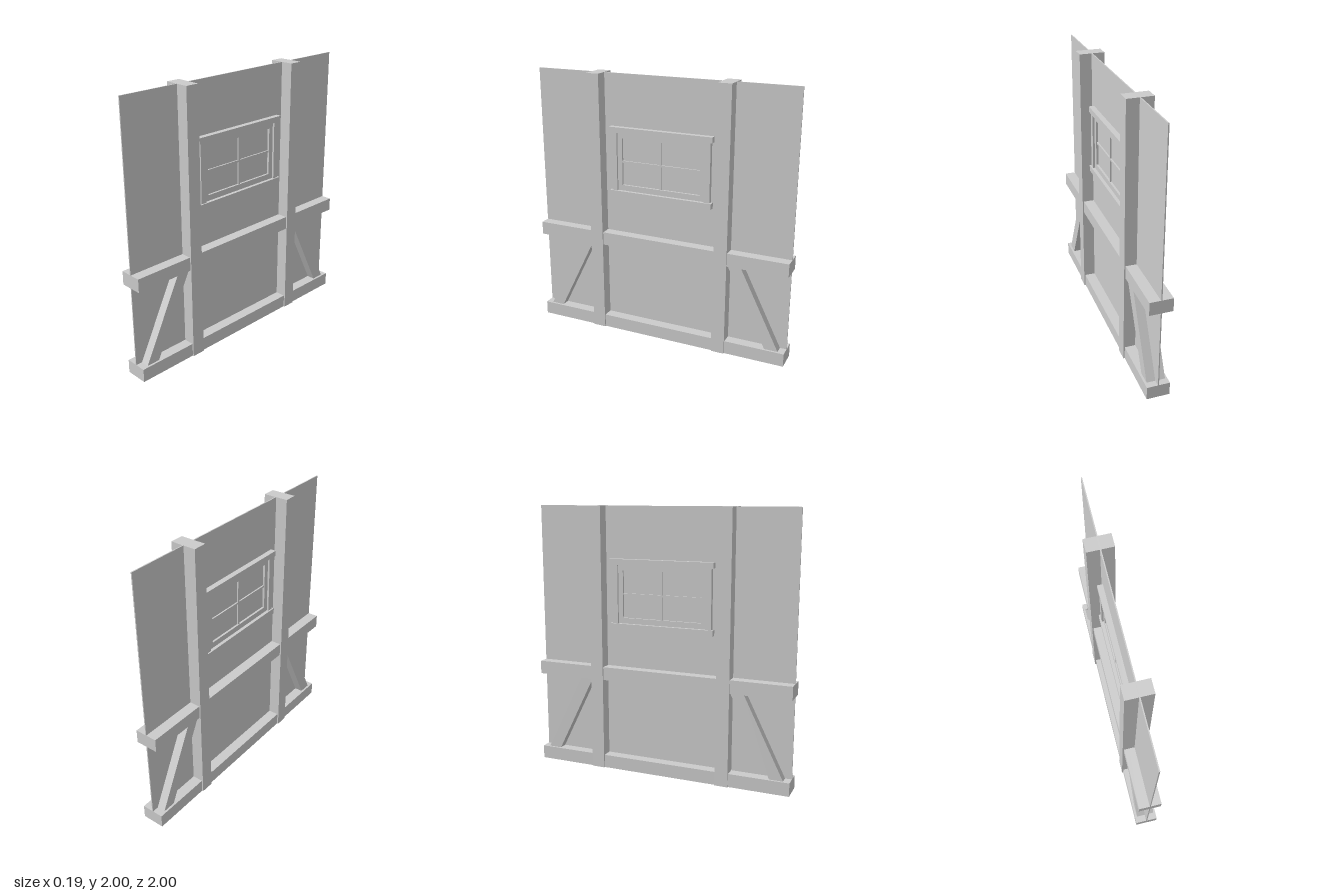
import * as THREE from 'three';

export function createModel() {
  const group = new THREE.Group();
  const material = new THREE.MeshStandardMaterial({ color: 0xcccccc, flatShading: true });

  // Box given by its full thickness in x and its y and z ranges
  function bar(name, thickness, y0, y1, z0, z1, parent = group) {
    const mesh = new THREE.Mesh(new THREE.BoxGeometry(thickness, y1 - y0, z1 - z0), material);
    mesh.position.set(0, (y0 + y1) / 2, (z0 + z1) / 2);
    mesh.name = name;
    parent.add(mesh);
    return mesh;
  }

  // Thin wall panel with timbers passing through to both faces
  bar('wallPanel', 0.008, 0, 2, -1, 1);
  bar('bottomRail', 0.168, 0, 0.1, -1, 1);
  bar('middleRail', 0.168, 0.7, 0.8, -1, 1);

  for (const side of [-1, 1]) {
    bar('post', 0.188, 0, 2, side * 0.5 - 0.05, side * 0.5 + 0.05);

    // Slanted brace: a parallelogram, sheared from an upright box
    const brace = bar('brace', 0.136, 0.1, 0.7, side * 0.75 - 0.05, side * 0.75 + 0.05);
    const p = brace.geometry.attributes.position;
    for (let i = 0; i < p.count; i++) p.setZ(i, p.getZ(i) - side * 0.5 * p.getY(i));
    brace.geometry.computeVertexNormals();
  }

  // Window, the same on both faces
  const window = new THREE.Group();
  window.name = 'window';
  group.add(window);
  bar('windowHead', 0.09, 1.574, 1.616, -0.403, 0.403, window);
  bar('windowSill', 0.09, 1.092, 1.136, -0.403, 0.403, window);
  for (const side of [-1, 1]) {
    const stile = (name, t, y0, y1, inner, outer) =>
      bar(name, t, y0, y1, Math.min(side * inner, side * outer), Math.max(side * inner, side * outer), window);
    stile('windowJamb', 0.07, 1.136, 1.574, 0.345, 0.388);
    stile('sashStile', 0.04, 1.136, 1.574, 0.308, 0.345);
  }
  bar('sashTopRail', 0.04, 1.532, 1.574, -0.308, 0.308, window);
  bar('sashBottomRail', 0.04, 1.136, 1.178, -0.308, 0.308, window);
  bar('verticalGlazingBar', 0.03, 1.178, 1.532, -0.008, 0.008, window);
  bar('horizontalGlazingBar', 0.03, 1.348, 1.362, -0.308, 0.308, window);

  return group;
}
